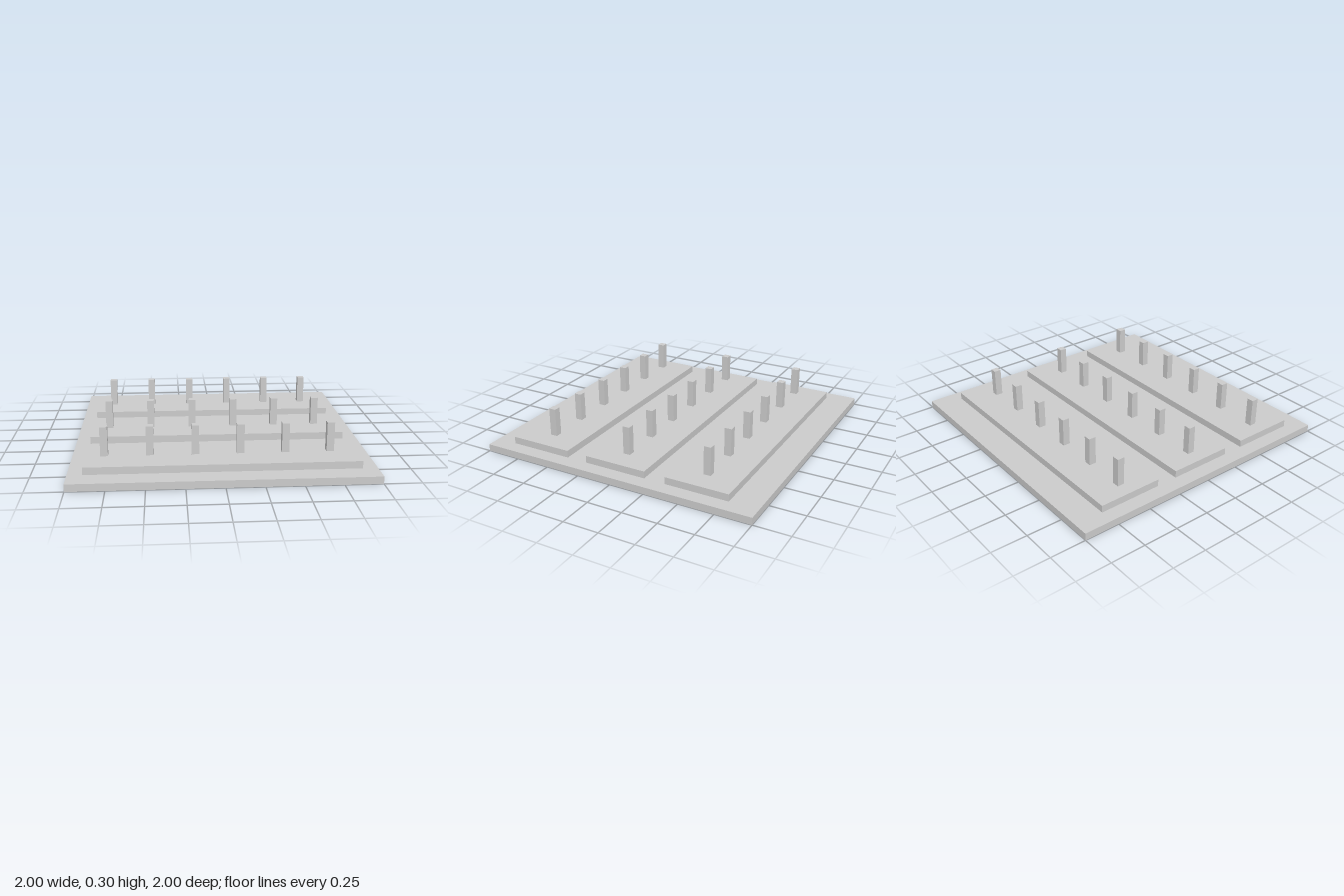
import * as THREE from 'three';

const material = new THREE.MeshStandardMaterial({ color: 0xcccccc, flatShading: true });

// Box standing on height y, centred on x and z
function box(name, width, height, depth, x, y, z) {
  const mesh = new THREE.Mesh(new THREE.BoxGeometry(width, height, depth), material);
  mesh.name = name;
  mesh.position.set(x, y + height / 2, z);
  return mesh;
}

export function createModel() {
  const model = new THREE.Group();
  model.name = 'plotWithPosts';

  // Ground slab
  model.add(box('baseSlab', 2, 0.05, 2, 0, 0, 0));

  // Three raised beds, each with a row of six square posts
  for (let row = 0; row < 3; row++) {
    const bedRow = new THREE.Group();
    bedRow.name = `bedRow${row + 1}`;
    bedRow.position.z = -0.575 + row * 0.6;
    bedRow.add(box('raisedBed', 1.8, 0.05, 0.45, 0, 0.05, 0));
    for (let i = 0; i < 6; i++) {
      bedRow.add(box(`post${i + 1}`, 0.05, 0.2, 0.05, -0.775 + i * 0.3, 0.1, 0));
    }
    model.add(bedRow);
  }
  return model;
}
